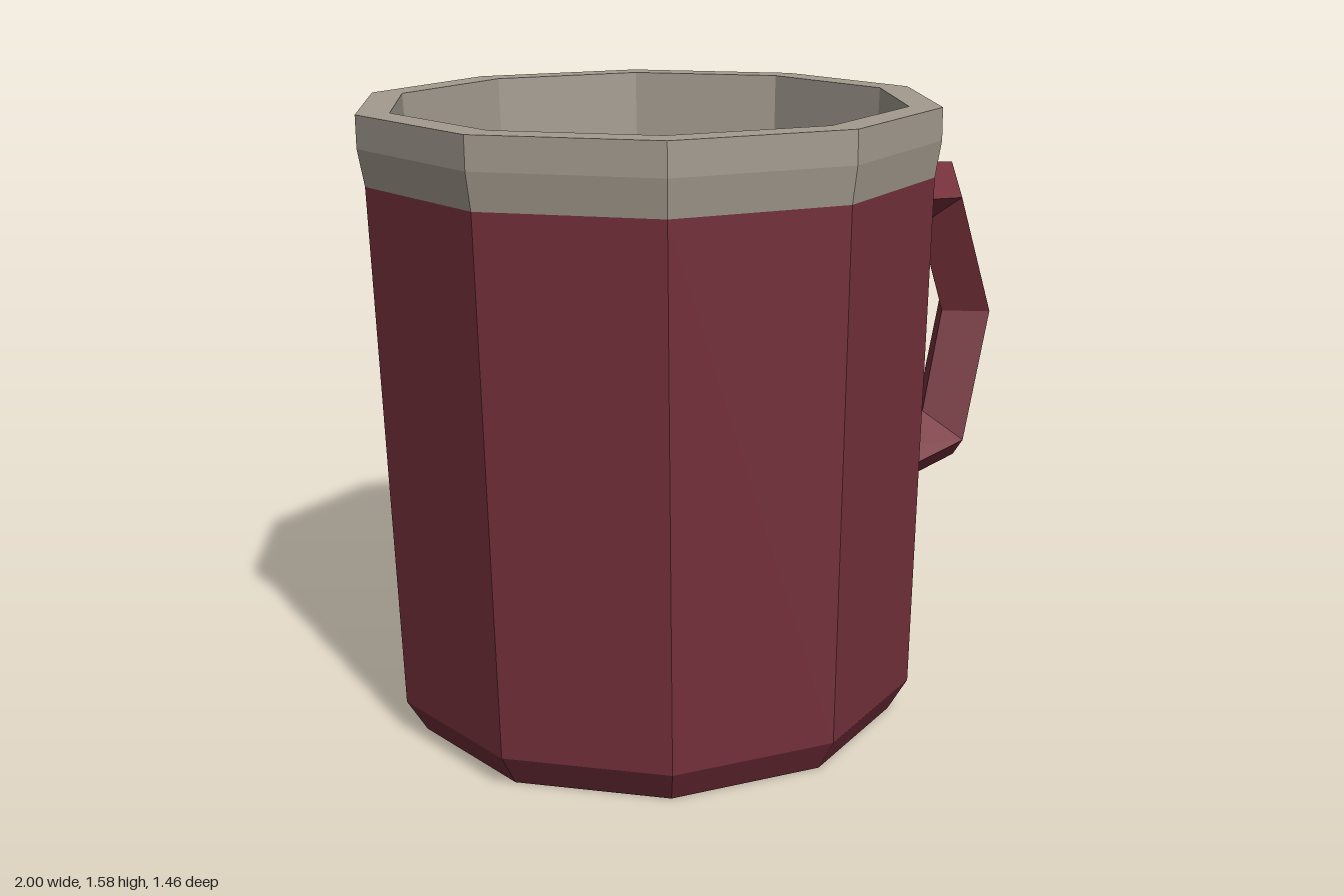
import * as THREE from 'three';

const mat = (name, color) => new THREE.MeshStandardMaterial({ name, color, flatShading: true });
const AXIS_X = -0.305; // the cup sits off centre so the handle fits in the width
const SIDES = 10;

export function createModel() {
  const red = mat('dark red enamel', 0x74303a);
  const grey = mat('warm grey rim', 0xa39b8f);
  const brown = mat('coffee brown', 0x5a3a22);
  const black = mat('black chip', 0x2a2725);

  const model = new THREE.Group();
  model.name = 'mug';
  const cup = new THREE.Group();
  cup.name = 'cup';
  cup.position.x = AXIS_X;
  model.add(cup);

  const add = (parent, name, geometry, material) => {
    const mesh = new THREE.Mesh(geometry, material);
    mesh.name = name;
    parent.add(mesh);
    return mesh;
  };
  const lathe = (profile) =>
    new THREE.LatheGeometry(profile.map(([r, y]) => new THREE.Vector2(r, y)), SIDES);

  // Ten-sided body with a bevelled foot
  add(cup, 'body', lathe([[0, 0], [0.63, 0], [0.68, 0.085], [0.715, 1.41]]), red);
  // Flared rim, flat lip and inner wall in one profile
  add(cup, 'rim', lathe([[0.715, 1.41], [0.73, 1.5], [0.73, 1.58], [0.648, 1.58], [0.632, 1.12]]), grey);
  // Drink surface
  add(cup, 'coffee', lathe([[0.635, 1.17], [0, 1.17]]), brown);

  // Small plate on the back of the body, turned towards the handle
  const turn = THREE.MathUtils.degToRad(180 - 28);
  const plate = add(cup, 'chip', new THREE.BoxGeometry(0.23, 0.155, 0.02), black);
  plate.position.set(0.712 * Math.sin(turn), 0.808, 0.712 * Math.cos(turn));
  plate.rotation.y = turn;

  // Handle: diamond sections given by their outer and inner ridge points (x, y)
  const sections = [
    [[0.367, 1.35], [0.352, 1.163]],
    [[0.828, 1.312], [0.7, 1.14]],
    [[1.0, 0.872], [0.803, 0.87]],
    [[0.872, 0.41], [0.73, 0.575]],
    [[0.375, 0.335], [0.345, 0.52]],
  ];
  const positions = [];
  const index = [];
  sections.forEach(([[ox, oy], [ix, iy]], i) => {
    const mx = (ox + ix) / 2, my = (oy + iy) / 2;
    positions.push(ox, oy, 0, mx, my, 0.1, ix, iy, 0, mx, my, -0.1);
    if (i === sections.length - 1) return;
    for (let j = 0; j < 4; j++) {
      const a = i * 4 + j, b = i * 4 + ((j + 1) % 4);
      index.push(a, b, b + 4, a, b + 4, a + 4);
    }
  });
  const last = (sections.length - 1) * 4;
  index.push(0, 2, 1, 0, 3, 2, last, last + 1, last + 2, last, last + 2, last + 3);
  const handle = new THREE.BufferGeometry();
  handle.setAttribute('position', new THREE.Float32BufferAttribute(positions, 3));
  handle.setIndex(index);
  handle.computeVertexNormals();
  add(model, 'handle', handle, red);

  return model;
}
